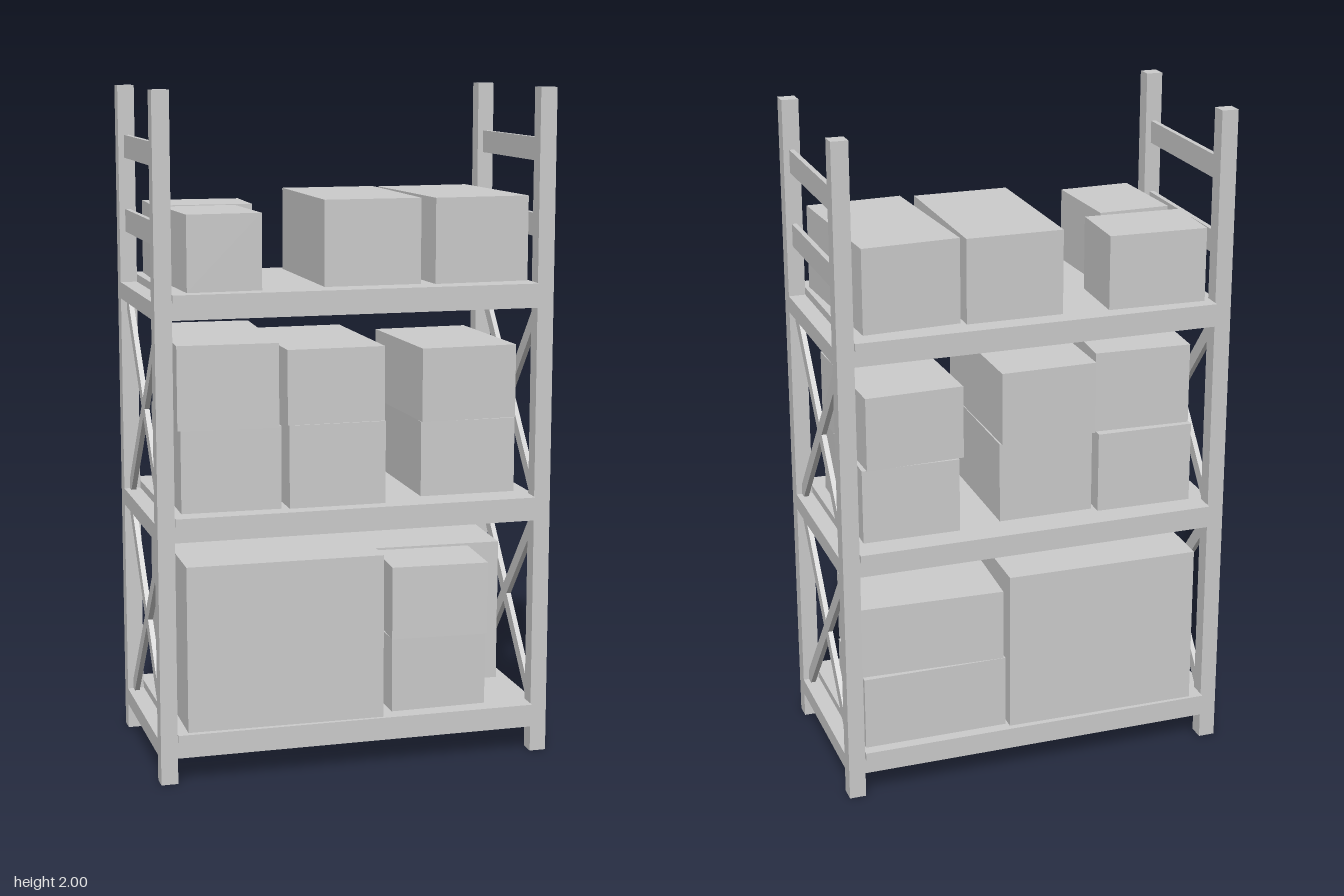
import * as THREE from 'three';

export function createModel() {
  const group = new THREE.Group();
  const mat = new THREE.MeshStandardMaterial({ color: 0xcccccc, flatShading: true });

  const add = (name, geometry, x, y, z, turn = 0) => {
    const mesh = new THREE.Mesh(geometry, mat);
    mesh.name = name;
    mesh.position.set(x, y, z);
    mesh.rotation.y = turn;
    group.add(mesh);
    return mesh;
  };
  const block = (name, w, h, d, x, y, z, turn) =>
    add(name, new THREE.BoxGeometry(w, h, d), x, y + h / 2, z, turn); // y is the underside

  const POST = 0.05, PX = 0.57, PZ = 0.272, INX = 0.545, INZ = 0.247;
  const levels = [0.077, 0.72, 1.36]; // underside of each shelf frame

  // Upright posts
  for (const sx of [-1, 1]) for (const sz of [-1, 1])
    block('post', POST, 2, POST, sx * PX, 0, sz * PZ);

  // Shelf frames and boards
  for (const y of levels) {
    for (const s of [-1, 1]) {
      block('longBeam', INX * 2, POST, POST, 0, y, s * PZ);
      block('sideBeam', POST, POST, INZ * 2, s * PX, y, 0);
    }
    block('shelfBoard', INX * 2, 0.023, 0.62, 0, y + POST, 0);
  }

  // Diagonal brace with ends trimmed to the post and beam
  const braceGeometry = (y0, y1, flip) => {
    const dz = 0.025, dy = 0.03, thick = 0.015;
    const pts = [[-INZ, y0], [-INZ + dz, y0], [INZ, y1 - dy], [INZ, y1], [INZ - dz, y1], [-INZ, y0 + dy]];
    const shape = new THREE.Shape(pts.map(([z, y]) => new THREE.Vector2(z * flip, y)));
    const geo = new THREE.ExtrudeGeometry(shape, { depth: thick, bevelEnabled: false });
    return geo.translate(0, 0, -thick / 2).rotateY(Math.PI / 2);
  };

  // Side bracing and upper guard rails
  for (const s of [-1, 1]) {
    for (let i = 0; i < 2; i++)
      for (const flip of [-1, 1])
        add('crossBrace', braceGeometry(levels[i] + POST, levels[i + 1], flip), s * PX, 0, 0);
    for (const y of [1.563, 1.785])
      block('sideRail', 0.015, 0.068, INZ * 2, s * PX, y, 0);
  }

  // Cartons: width, height, depth, x, underside y, z, turn
  const cartons = [
    // bottom shelf
    [0.59, 0.495, 0.59, -0.213, 0.15, 0, -0.014],
    [0.295, 0.225, 0.22, 0.262, 0.15, 0.145, 0.02],
    [0.295, 0.22, 0.22, 0.268, 0.375, 0.16, -0.05],
    [0.44, 0.225, 0.29, 0.315, 0.15, -0.13, 0],
    [0.44, 0.22, 0.29, 0.315, 0.375, -0.12, -0.04],
    // middle shelf
    [0.295, 0.245, 0.495, -0.365, 0.795, 0.012, -0.02],
    [0.295, 0.245, 0.495, -0.37, 1.04, 0.035, -0.05],
    [0.29, 0.245, 0.48, -0.055, 0.795, 0.03, 0],
    [0.293, 0.22, 0.48, -0.06, 1.04, 0.025, 0.01],
    [0.293, 0.225, 0.445, 0.366, 0.795, -0.01, -0.01],
    [0.295, 0.22, 0.44, 0.36, 1.02, -0.01, 0.033],
    // top shelf
    [0.296, 0.22, 0.22, -0.377, 1.435, -0.159, -0.034],
    [0.22, 0.22, 0.294, -0.395, 1.435, 0.13, 0.042],
    [0.29, 0.25, 0.496, 0.058, 1.435, -0.006, 0],
    [0.291, 0.25, 0.494, 0.375, 1.435, 0.001, 0.055],
  ];
  for (const c of cartons) block('carton', ...c);

  return group;
}
